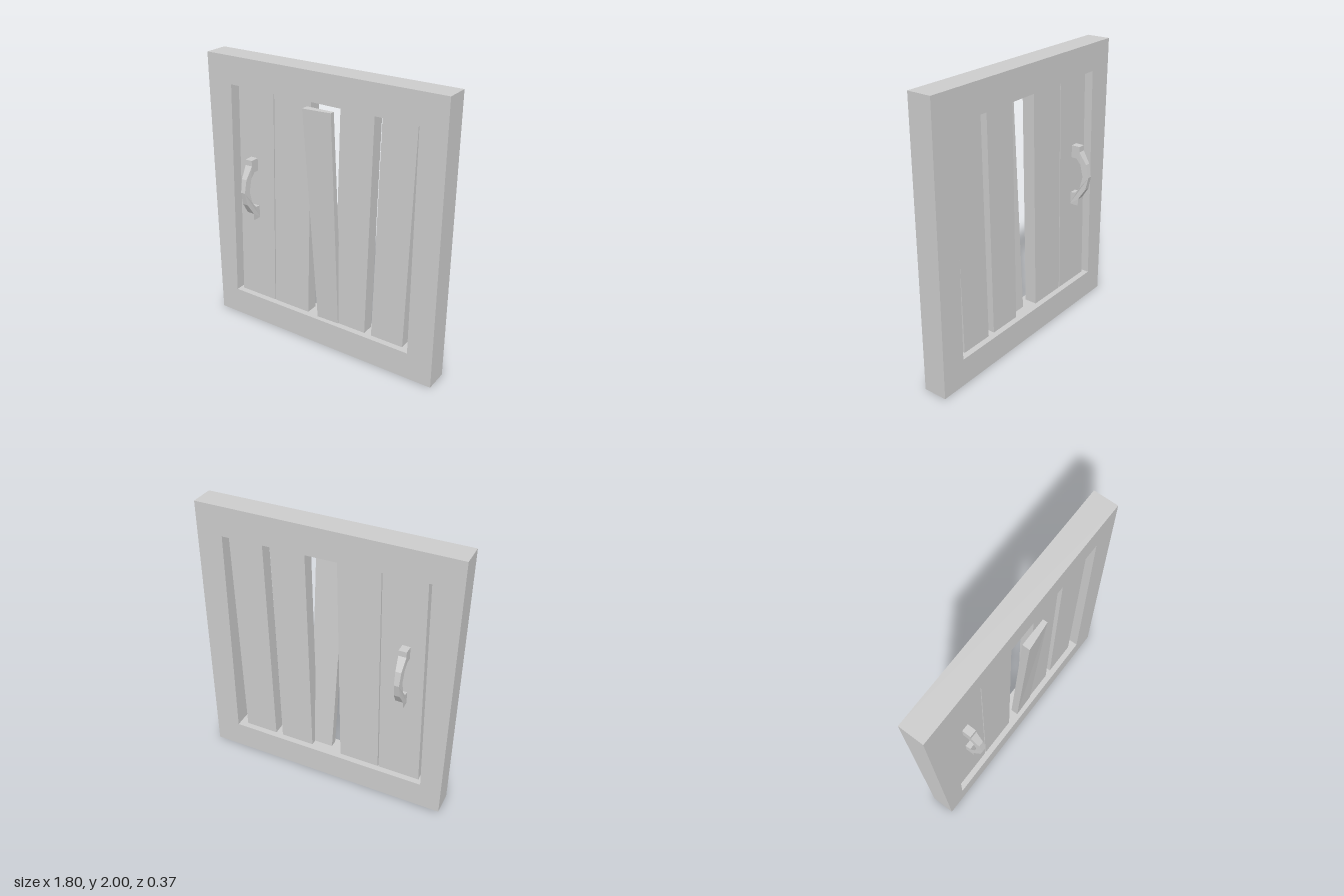
import * as THREE from 'three';

const material = new THREE.MeshStandardMaterial({ color: 0xcccccc, flatShading: true });

function addMesh(parent, geometry, name) {
  const mesh = new THREE.Mesh(geometry, material);
  mesh.name = name;
  parent.add(mesh);
  return mesh;
}

const outline = (points, Type = THREE.Shape) =>
  new Type(points.map(([x, y]) => new THREE.Vector2(x, y)));

// Box whose two ends are set separately: x range, y, and z (back, front on left edge, front on right edge)
function plankGeometry(bottom, top) {
  const geometry = new THREE.BoxGeometry(1, 1, 1);
  const pos = geometry.attributes.position;
  for (let i = 0; i < pos.count; i++) {
    const end = pos.getY(i) > 0 ? top : bottom;
    const side = pos.getX(i) > 0 ? 1 : 0;
    const z = pos.getZ(i) > 0 ? end.front[side] : end.back;
    pos.setXYZ(i, end.x[side], end.y, z);
  }
  geometry.computeVertexNormals();
  return geometry;
}

// Arched pull: side profile extruded across x, narrowing toward the crown
function handleGeometry() {
  const profile = [
    [0.04, 1.30], [0.11, 1.30], [0.11, 1.26], [0.165, 1.175], [0.185, 1.08],
    [0.165, 0.985], [0.11, 0.90], [0.11, 0.85], [0.04, 0.85], [0.04, 0.94],
    [0.085, 0.945], [0.12, 0.99], [0.14, 1.08], [0.12, 1.17], [0.085, 1.21], [0.04, 1.21],
  ];
  const geometry = new THREE.ExtrudeGeometry(outline(profile), { depth: 1, bevelEnabled: false });
  geometry.translate(0, 0, -0.5);
  geometry.rotateY(-Math.PI / 2); // profile x becomes z
  const pos = geometry.attributes.position;
  for (let i = 0; i < pos.count; i++) {
    const t = THREE.MathUtils.clamp((pos.getZ(i) - 0.11) / 0.075, 0, 1);
    pos.setX(i, pos.getX(i) * THREE.MathUtils.lerp(0.055, 0.034, t));
  }
  geometry.computeVertexNormals();
  return geometry;
}

export function createModel() {
  const model = new THREE.Group();
  model.name = 'plankHatch';

  // Frame with a slightly crooked opening
  const shape = outline([[-0.9, 0], [0.9, 0], [0.9, 2], [-0.9, 2]]);
  shape.holes.push(outline([[-0.75, 0.2], [-0.705, 1.805], [0.715, 1.79], [0.715, 0.2]], THREE.Path));
  const frame = new THREE.ExtrudeGeometry(shape, { depth: 0.172, bevelEnabled: false });
  frame.translate(0, 0, -0.086);
  addMesh(model, frame, 'frame');

  // Fixed planks, leaning slightly: bottom x range, top x range, top height
  const planks = new THREE.Group();
  planks.name = 'planks';
  model.add(planks);
  const fixed = [
    [[-0.72, -0.42], [-0.673, -0.38], 1.795],
    [[-0.412, -0.12], [-0.374, -0.08], 1.79],
    [[0.108, 0.355], [0.143, 0.39], 1.793],
    [[0.41, 0.655], [0.445, 0.69], 1.788],
  ];
  fixed.forEach(([low, high, y], i) => {
    const z = { back: -0.045, front: [0.045, 0.045] };
    addMesh(planks, plankGeometry({ x: low, y: 0.202, ...z }, { x: high, y, ...z }), `plank${i + 1}`);
  });

  // Loose plank tipping forward out of the opening
  addMesh(planks, plankGeometry(
    { x: [-0.03, 0.14], y: 0.202, back: 0, front: [0.055, 0.05] },
    { x: [-0.065, 0.137], y: 1.775, back: 0.11, front: [0.163, 0.143] },
  ), 'loosePlank');

  // Matching handles on both faces
  const handle = handleGeometry();
  for (const [name, turn] of [['frontHandle', 0], ['backHandle', Math.PI]]) {
    const mesh = addMesh(model, handle, name);
    mesh.position.x = -0.563;
    mesh.rotation.y = turn;
  }

  return model;
}
